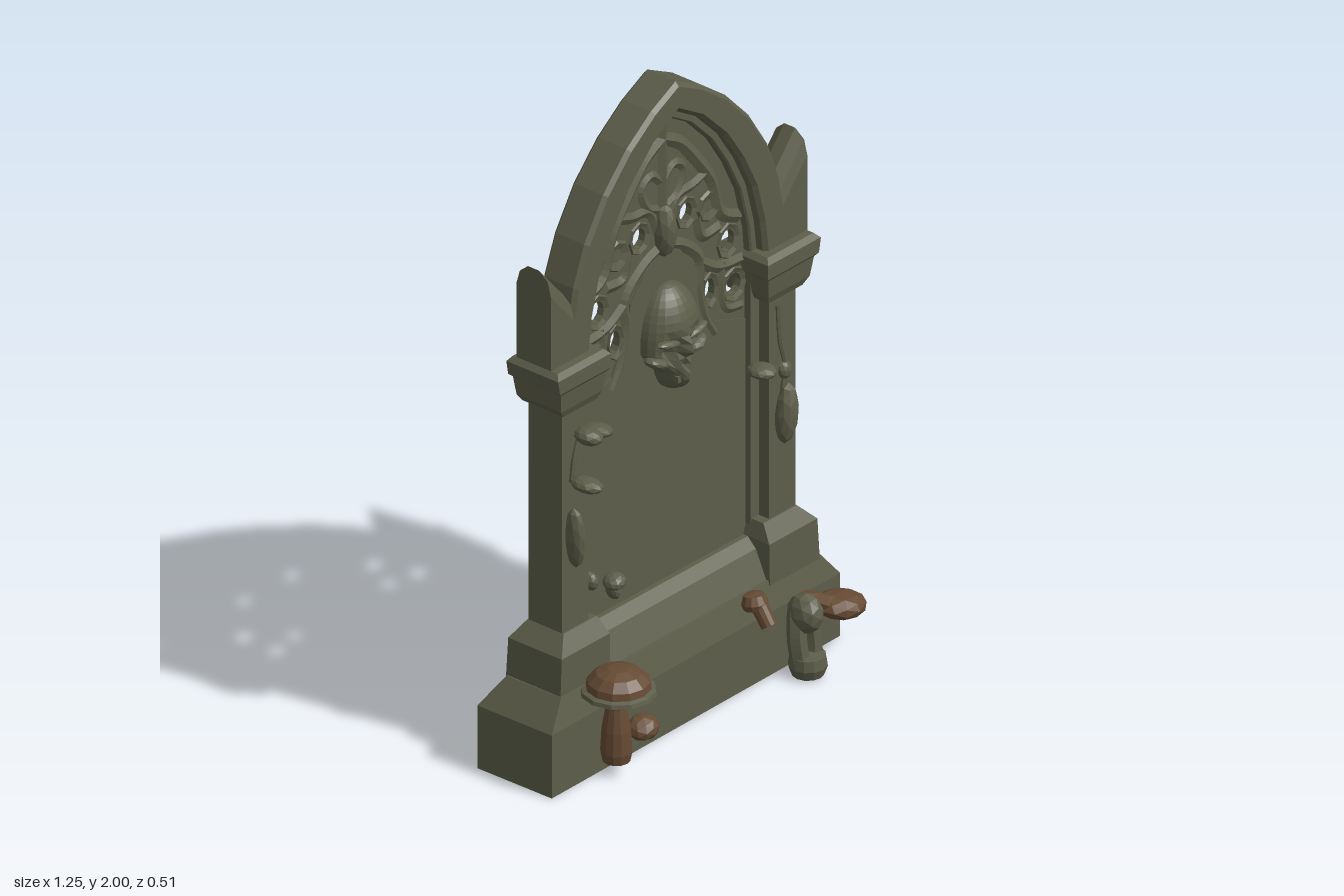
import * as THREE from 'three';

const V3 = (p) => new THREE.Vector3(...p);

export function createModel() {
  const root = new THREE.Group();
  root.name = 'gravestone';
  const stone = new THREE.MeshStandardMaterial({ color: 0x5c5d49, flatShading: true });
  stone.name = 'mossy stone';
  const brown = new THREE.MeshStandardMaterial({ color: 0x654a33, flatShading: true });
  brown.name = 'mushroom brown';

  function add(name, geo, mat = stone, pos = [0, 0, 0], rot = [0, 0, 0], scale = [1, 1, 1]) {
    const m = new THREE.Mesh(geo, mat);
    m.name = name;
    m.position.set(...pos);
    m.rotation.set(...rot);
    m.scale.set(...scale);
    root.add(m);
    return m;
  }
  const box = (name, x0, x1, y0, y1, z0, z1) => add(name, new THREE.BoxGeometry(x1 - x0, y1 - y0, z1 - z0),
    stone, [(x0 + x1) / 2, (y0 + y1) / 2, (z0 + z1) / 2]);
  const blob = (name, pos, size, mat = stone, rot) => add(name, new THREE.IcosahedronGeometry(1, 1), mat, pos, rot, size);
  const tube = (name, pts, r, mat = stone) => add(name,
    new THREE.TubeGeometry(new THREE.CatmullRomCurve3(pts.map(V3)), pts.length * 4, r, 6), mat);

  // Stack of rectangular rings [y, x0, x1, zBack, zFront]
  function loft(name, rings) {
    const v = [], idx = [];
    for (const [y, x0, x1, z0, z1] of rings) v.push(x0, y, z1, x1, y, z1, x1, y, z0, x0, y, z0);
    for (let r = 0; r < rings.length - 1; r++) {
      for (let i = 0; i < 4; i++) {
        const a = r * 4 + i, b = r * 4 + (i + 1) % 4;
        idx.push(a, b, b + 4, a, b + 4, a + 4);
      }
    }
    const t = (rings.length - 1) * 4;
    idx.push(t, t + 1, t + 2, t, t + 2, t + 3, 0, 2, 1, 0, 3, 2);
    const g = new THREE.BufferGeometry();
    g.setAttribute('position', new THREE.Float32BufferAttribute(v, 3));
    g.setIndex(idx);
    const flat = g.toNonIndexed();
    flat.computeVertexNormals();
    return add(name, flat);
  }
  // Right half outline (bottom to apex) mirrored into a full list of points
  const mirrored = (half) => [...half, ...half.slice(0, -1).reverse().map(([x, y]) => [-x, y])];
  const vec2 = (pts) => pts.map((p) => new THREE.Vector2(...p));
  function slab(name, pts, z0, z1, bevel = 0, holes = []) {
    const s = new THREE.Shape(vec2(pts));
    for (const [x, y, rx, ry] of holes) s.holes.push(new THREE.Path().absellipse(x, y, rx, ry, 0, Math.PI * 2, true));
    const g = new THREE.ExtrudeGeometry(s, { depth: z1 - z0 - 2 * bevel, curveSegments: 5, bevelEnabled: bevel > 0,
      bevelSize: bevel, bevelOffset: -bevel, bevelThickness: bevel, bevelSegments: 1 });
    g.translate(0, 0, z0 + bevel);
    return add(name, g);
  }

  // Base, set very slightly askew, with sloping shoulders and the sill below the panel
  loft('base', [[0, -0.622, 0.622, -0.19, 0.083], [0.2, -0.622, 0.622, -0.19, 0.083],
    [0.285, -0.555, 0.555, -0.14, 0.06]]).rotation.y = 0.01;
  loft('sill', [[0.27, -0.4, 0.4, -0.135, 0.055], [0.37, -0.4, 0.4, -0.1, 0.01], [0.4, -0.4, 0.4, -0.085, -0.02]]);

  // Arch band with a thinner, recessed inner moulding
  const outer = [[0.47, 1.28], [0.462, 1.4], [0.437, 1.52], [0.39, 1.64], [0.31, 1.765], [0.21, 1.87], [0.105, 1.947], [0, 2]];
  const inner = [[0.375, 1.28], [0.36, 1.4], [0.325, 1.53], [0.27, 1.64], [0.2, 1.745], [0.1, 1.845], [0, 1.905]];
  const lip = [[0.35, 1.28], [0.34, 1.38], [0.305, 1.515], [0.25, 1.625], [0.185, 1.725], [0.092, 1.82], [0, 1.875]];
  const ring = (a, b) => [...mirrored(a), ...mirrored(b).reverse()];
  slab('arch', ring(outer, inner), -0.108, 0.02, 0.012);
  slab('archMoulding', ring(inner.map(([x, y]) => [x * 1.03, y + 0.005]), lip), -0.086, -0.015, 0.005);

  // Columns, plinths, capitals and pinnacles on both sides
  for (const s of [-1, 1]) {
    const span = (a, b) => (s > 0 ? [a, b] : [-b, -a]);
    const ringAt = (y, a, b, z0, z1) => [y, ...span(a, b), z0, z1];
    loft('plinth', [ringAt(0.27, 0.34, 0.553, -0.14, 0.062), ringAt(0.4, 0.34, 0.545, -0.138, 0.06),
      ringAt(0.45, 0.355, 0.497, -0.108, 0.025)]);
    box('column', ...span(0.385, 0.497), 0.44, 1.17, -0.105, 0.02);
    box('columnMoulding', ...span(0.35, 0.39), 0.38, 1.3, -0.085, -0.018);
    loft('capital', [ringAt(1.15, 0.365, 0.51, -0.115, 0.035), ringAt(1.175, 0.355, 0.53, -0.12, 0.045),
      ringAt(1.235, 0.345, 0.54, -0.125, 0.052), ringAt(1.245, 0.335, 0.552, -0.132, 0.06),
      ringAt(1.29, 0.335, 0.56, -0.132, 0.06), ringAt(1.305, 0.35, 0.545, -0.12, 0.045)]);
    // Pinnacle: rounded side profile, top sheared down towards the arch
    const prof = [[-0.02, 1.29], [0.108, 1.29], [0.108, 1.54], [0.095, 1.585], [0.065, 1.61], [0.025, 1.61], [-0.008, 1.585], [-0.02, 1.54]];
    const g = new THREE.ExtrudeGeometry(new THREE.Shape(vec2(prof)), { depth: 0.115, bevelEnabled: false });
    g.rotateY(Math.PI / 2);
    g.translate(s > 0 ? 0.433 : -0.545, 0, 0);
    const p = g.attributes.position;
    for (let i = 0; i < p.count; i++) {
      if (p.getY(i) > 1.4) p.setY(i, p.getY(i) - 1.15 * (0.545 - Math.abs(p.getX(i))));
    }
    g.computeVertexNormals();
    add('pinnacle', g);
  }

  // Panel and thin pierced tracery plate
  slab('panel', mirrored([[0.36, 0.36], [0.36, 1.08], [0.22, 1.13], [0.165, 1.24], [0.14, 1.33], [0.07, 1.42], [0, 1.47]]), -0.073, -0.036);
  const holes = [];
  for (const s of [-1, 1]) {
    holes.push([s * 0.1, 1.523, 0.027, 0.032], [s * 0.278, 1.36, 0.029, 0.035],
      [s * 0.303, 1.212, 0.032, 0.034], [s * 0.202, 1.235, 0.021, 0.036]);
  }
  const tz = -0.052;
  slab('traceryPlate', mirrored([[0.36, 1.05], ...inner]), tz - 0.011, tz + 0.011, 0, holes);

  // Tracery ribs, standing proud of the plate on both faces
  for (const [x, y, rx, ry] of holes) {
    add('traceryRing', new THREE.TorusGeometry(1, 0.3, 5, 8), stone, [x, y, tz], [0, 0, 0], [rx * 1.45, ry * 1.42, 0.06]);
  }
  for (const s of [-1, 1]) {
    const rib = (pts, r) => tube('traceryRib', pts.map(([x, y]) => [s * x, y, tz]), r);
    rib([[0, 1.46], [0.08, 1.43], [0.16, 1.35], [0.155, 1.26], [0.18, 1.16], [0.22, 1.09]], 0.023);
    rib([[0, 1.8], [0.07, 1.76], [0.14, 1.68], [0.21, 1.58], [0.25, 1.46], [0.325, 1.42]], 0.024);
    rib([[0, 1.66], [0.05, 1.7], [0.09, 1.67], [0.06, 1.6], [0.02, 1.58]], 0.02);
    rib([[0.02, 1.51], [0.06, 1.59], [0.13, 1.6], [0.19, 1.62]], 0.021);
    rib([[0.145, 1.49], [0.17, 1.42], [0.24, 1.42]], 0.022);
    rib([[0.16, 1.34], [0.22, 1.3], [0.27, 1.285], [0.34, 1.28]], 0.022);
    rib([[0.34, 1.13], [0.27, 1.15], [0.252, 1.24], [0.26, 1.3]], 0.019);
    add('traceryLoop', new THREE.TorusGeometry(0.038, 0.02, 5, 8), stone, [s * 0.195, 1.505, tz]);
  }
  tube('traceryStem', [[0, 1.86, tz], [0, 1.7, tz], [0, 1.55, tz]], 0.024);
  blob('pendant', [0, 1.51, -0.035], [0.036, 0.085, 0.04]);

  // Skull: sphere with a narrow jaw, flat back, sunken eyes and nose
  const skull = new THREE.SphereGeometry(1, 24, 20);
  const sp = skull.attributes.position;
  const dent = (x, y, cx, cy, r) => Math.exp(-((x - cx) ** 2 + (y - cy) ** 2) / (r * r));
  for (let i = 0; i < sp.count; i++) {
    const x = sp.getX(i), y = sp.getY(i), z = sp.getZ(i);
    const jaw = y < -0.2 ? 1 - 0.42 * Math.min(1, (-0.2 - y) / 0.35) : 1;
    let nz = z * 0.2;
    if (z > 0) {
      nz = z - 0.5 * (dent(x, y, 0.44, -0.12, 0.24) + dent(x, y, -0.44, -0.12, 0.24));
      nz += 0.25 * dent(x, y, 0, -0.12, 0.15) - 0.35 * dent(x, y, 0, -0.4, 0.12) + 0.3 * dent(x, y, 0, -0.75, 0.3);
    }
    sp.setXYZ(i, x * jaw, y, nz);
  }
  skull.computeVertexNormals();
  add('skull', skull, stone, [0.008, 1.178, -0.035], [0, 0, 0], [0.108, 0.165, 0.09]);
  for (const s of [-1, 1]) {
    blob('cheekbone', [0.008 + s * 0.08, 1.13, 0], [0.042, 0.017, 0.035], stone, [0, 0, s * 0.35]);
    blob('brow', [0.008 + s * 0.055, 1.188, 0.025], [0.05, 0.013, 0.022], stone, [0, 0, s * 0.2]);
  }
  box('teeth', -0.022, 0.038, 1.055, 1.075, -0.02, 0.036);

  // Mushroom cap, rim and stem as one lathe each
  const lathe = (name, prof, mat, pos, rot, scale) => add(name, new THREE.LatheGeometry(vec2(prof), 12), mat, pos, rot, scale);
  lathe('largeStem', [[0, 0], [0.04, 0], [0.046, 0.03], [0.042, 0.1], [0.03, 0.17], [0.03, 0.23], [0, 0.24]], brown, [-0.393, 0.045, 0.13]);
  lathe('largeCapRim', [[0, 0.005], [0.09, -0.01], [0.11, 0], [0.107, 0.012], [0.085, 0.02], [0, 0.022]], stone, [-0.4, 0.27, 0.145]);
  lathe('largeCap', [[0, 0], [0.095, 0], [0.09, 0.026], [0.065, 0.05], [0.03, 0.062], [0, 0.064]], brown, [-0.4, 0.282, 0.145]);
  blob('lowCap', [-0.262, 0.09, 0.115], [0.05, 0.034, 0.046], brown, [0.2, 0, 0.15]);
  lathe('smallStem', [[0, 0], [0.024, 0], [0.026, 0.06], [0, 0.07]], brown, [0.253, 0.205, 0.135], [-0.6, 0, 0]);
  lathe('smallCap', [[0, 0], [0.034, -0.004], [0.04, 0.014], [0.03, 0.038], [0, 0.044]], brown, [0.25, 0.25, 0.085], [-0.15, 0, 0]);

  // Cluster at the right corner
  lathe('clusterFoot', [[0, 0], [0.046, 0], [0.057, 0.03], [0.052, 0.062], [0, 0.068]], stone, [0.395, 0.003, 0.155]);
  tube('clusterStem', [[0.37, 0.04, 0.15], [0.365, 0.13, 0.14], [0.385, 0.21, 0.13], [0.42, 0.15, 0.14], [0.425, 0.04, 0.15]], 0.029);
  blob('clusterTop', [0.39, 0.195, 0.15], [0.046, 0.062, 0.058]);
  tube('bentStem', [[0.4, 0.215, 0.128], [0.44, 0.208, 0.128], [0.48, 0.185, 0.135], [0.52, 0.17, 0.14]], 0.03, brown);
  blob('bentCap', [0.54, 0.162, 0.15], [0.08, 0.038, 0.072], brown, [0, 0, -0.1]);
  blob('rearPebble', [0.335, 0.036, -0.215], [0.03, 0.034, 0.036]);

  // Fungi and creepers on the columns and panel
  for (const [x, y, z, a, b, c, tilt] of [
    [-0.46, 0.745, 0.035, 0.026, 0.097, 0.035, 0.05], [0.442, 0.77, 0.035, 0.036, 0.094, 0.034, -0.1],
    [-0.46, 0.93, 0.08, 0.04, 0.022, 0.052, -0.15], [-0.43, 1.065, 0.06, 0.038, 0.026, 0.045, -0.2],
    [-0.365, 1.05, 0.035, 0.05, 0.02, 0.045, -0.25], [0.355, 0.935, 0.02, 0.04, 0.02, 0.045, 0],
    [-0.24, 0.5, -0.01, 0.034, 0.024, 0.035, 0.2], [-0.235, 0.465, -0.02, 0.018, 0.03, 0.025, 0.3],
    [-0.36, 0.555, 0.002, 0.022, 0.03, 0.03, 0.2], [0.45, 0.9, 0.02, 0.025, 0.03, 0.02, 0.3]]) {
    blob('shelfFungus', [x, y, z], [a, b, c], stone, [0, 0, tilt]);
  }
  tube('creeper', [[-0.43, 1.05, 0.022], [-0.45, 0.99, 0.022], [-0.46, 0.92, 0.022]], 0.009);
  tube('creeper', [[0.42, 1.12, 0.02], [0.43, 1, 0.02], [0.45, 0.92, 0.02], [0.44, 0.84, 0.022]], 0.009);
  tube('creeper', [[-0.36, 1.1, -0.016], [-0.37, 0.85, -0.016], [-0.36, 0.65, -0.016], [-0.365, 0.52, -0.012]], 0.009);

  return root;
}
